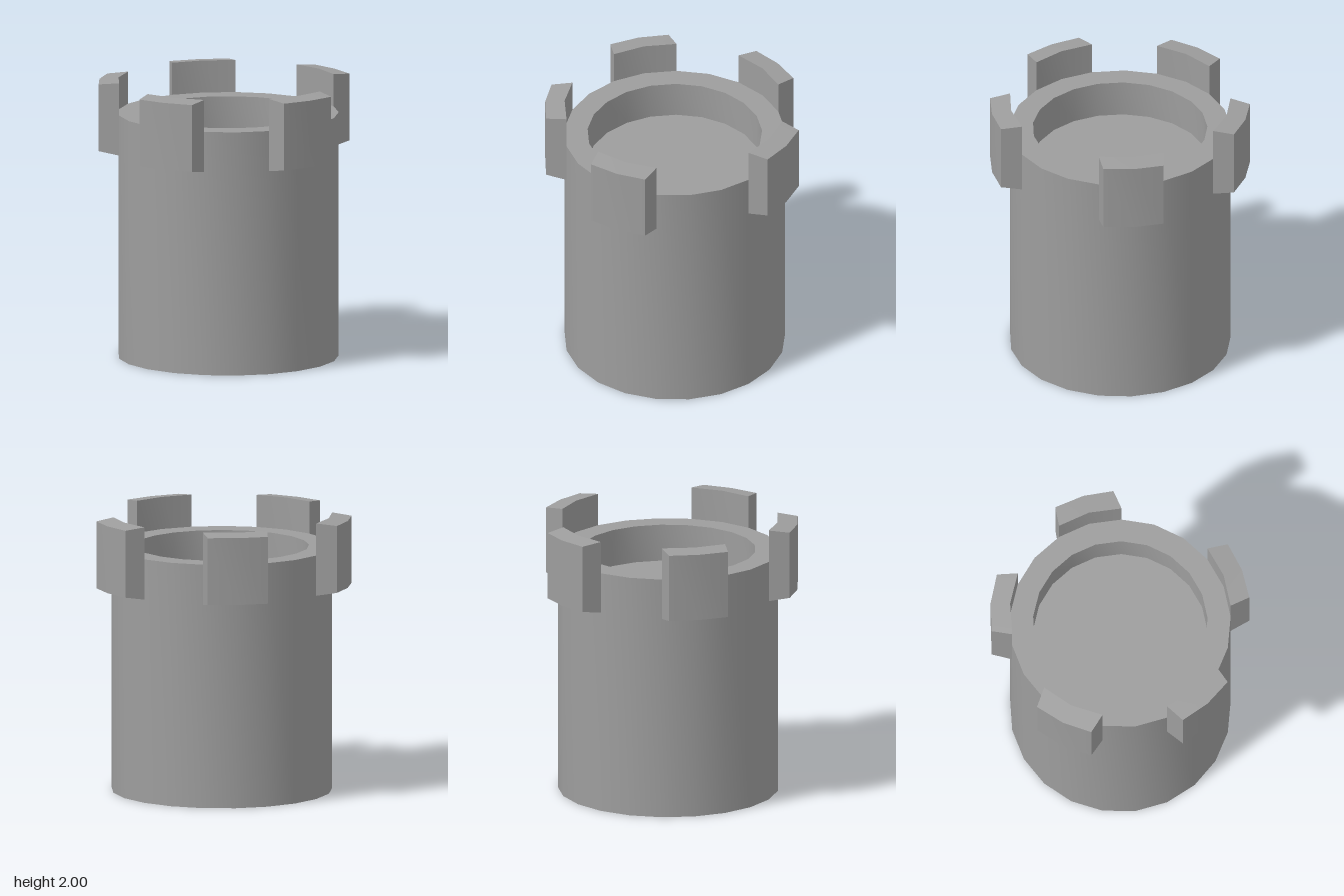
import * as THREE from 'three';
import { toCreasedNormals } from 'three/addons/utils/BufferGeometryUtils.js';

const SIDES = 21, STEP = (Math.PI * 2) / SIDES, START = -0.031;
const RADIUS = 0.79, HOLE = 0.625, RIM = 1.767, FLOOR = 1.5;
const CREASE = 0.6;

// Lug: cross-sections swept over two wall facets, the outer face slightly smaller
function lugGeometry(corner) {
  const middle = START + corner * STEP;
  const pos = [], index = [];
  const put = (r, y, a) => pos.push(r * Math.cos(a), y, -r * Math.sin(a));
  for (let i = -1; i <= 1; i++) {
    const inner = middle + i * STEP, outer = middle + i * 0.235;
    put(RADIUS, 1.475, inner);
    put(RADIUS, 2, inner);
    put(0.929, 1.985, outer);
    put(0.929, 1.5, outer);
  }
  for (let s = 0; s < 2; s++) {
    for (let k = 0; k < 4; k++) {
      const a = s * 4 + k, b = s * 4 + (k + 1) % 4;
      index.push(a, b, b + 4, a, b + 4, a + 4);
    }
  }
  index.push(0, 2, 1, 0, 3, 2, 8, 9, 10, 8, 10, 11); // end faces
  const geo = new THREE.BufferGeometry();
  geo.setAttribute('position', new THREE.Float32BufferAttribute(pos, 3));
  geo.setIndex(index);
  return toCreasedNormals(geo, CREASE);
}

export function createModel() {
  const model = new THREE.Group();
  model.name = 'luggedCap';
  const material = new THREE.MeshStandardMaterial({ color: 0x9d9d9d, side: THREE.DoubleSide });

  // Tube open at the bottom, with a rim and a shallow recess on top
  const profile = [[RADIUS, 0], [RADIUS, RIM], [HOLE, RIM], [HOLE, FLOOR], [0, FLOOR]]
    .map(([r, y]) => new THREE.Vector2(r, y));
  const lathe = new THREE.LatheGeometry(profile, SIDES, Math.PI / 2 + START);
  const body = new THREE.Mesh(toCreasedNormals(lathe, CREASE), material);
  body.name = 'body';
  model.add(body);

  // Five lugs, each centred on a corner of the wall
  const lugs = new THREE.Group();
  lugs.name = 'lugs';
  [-2, 3, 7, 11, 15].forEach((corner, i) => {
    const lug = new THREE.Mesh(lugGeometry(corner), material);
    lug.name = `lug${i + 1}`;
    lugs.add(lug);
  });
  model.add(lugs);

  model.position.set(0.037, 0, -0.018);
  const root = new THREE.Group();
  root.name = 'model';
  root.add(model);
  return root;
}
